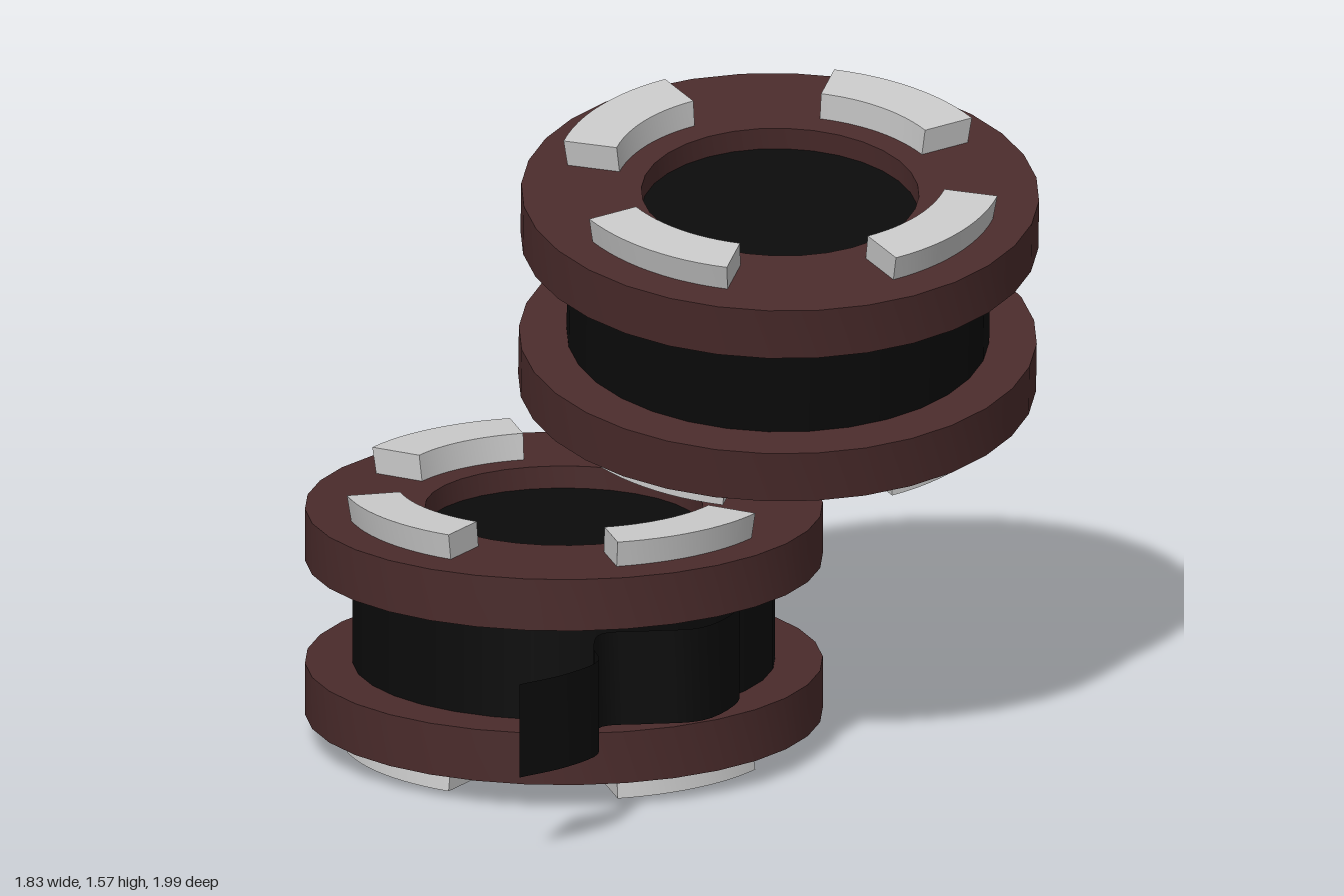
import * as THREE from 'three';
import { toCreasedNormals } from 'three/addons/utils/BufferGeometryUtils.js';

const brown = new THREE.MeshStandardMaterial({ color: 0x4a2b2b });
brown.name = 'reelBrown';
const black = new THREE.MeshStandardMaterial({ color: 0x0b0b0b, side: THREE.DoubleSide });
black.name = 'tapeBlack';
const grey = new THREE.MeshStandardMaterial({ color: 0xc8c8c8 });
grey.name = 'padGrey';

const SIDES = 32, OUTER = 0.653, HOLE = 0.35, CORE = 0.533;
const CORE_HALF = 0.135, FLANGE_TOP = 0.27, PAD_HEIGHT = 0.067;

function addMesh(parent, name, geometry, material) {
  const mesh = new THREE.Mesh(geometry, material);
  mesh.name = name;
  parent.add(mesh);
  return mesh;
}

// Square-section ring with crisp rims
function flangeGeometry() {
  const profile = [
    [HOLE, CORE_HALF], [OUTER, CORE_HALF], [OUTER, FLANGE_TOP], [HOLE, FLANGE_TOP], [HOLE, CORE_HALF],
  ].map(([r, y]) => new THREE.Vector2(r, y));
  return toCreasedNormals(new THREE.LatheGeometry(profile, SIDES), 0.6);
}

// Curved block lying on the flange, flaring slightly outwards
function padGeometry() {
  const a = Math.PI / 8, shape = new THREE.Shape();
  shape.absarc(0, 0, 0.552, -a, a, false);
  shape.absarc(0, 0, 0.417, a, -a, true);
  const geo = new THREE.ExtrudeGeometry(shape, { depth: PAD_HEIGHT, bevelEnabled: false, curveSegments: 6 });
  geo.rotateX(-Math.PI / 2);
  const p = geo.attributes.position;
  for (let i = 0; i < p.count; i++) {
    const s = p.getY(i) > PAD_HEIGHT / 2 ? 1.02 : 1;
    p.setXYZ(i, p.getX(i) * s, p.getY(i) + FLANGE_TOP, p.getZ(i) * s);
  }
  return toCreasedNormals(geo, 0.6);
}

function createReel(name) {
  const reel = new THREE.Group();
  reel.name = name;
  addMesh(reel, 'woundCore', new THREE.CylinderGeometry(CORE, CORE, CORE_HALF * 2, SIDES), black);
  addMesh(reel, 'hub', new THREE.CylinderGeometry(HOLE, HOLE, 0.424, SIDES), black);
  const flange = flangeGeometry(), pad = padGeometry();
  // Both ends are the same, one turned over
  for (const end of ['top', 'bottom']) {
    const side = new THREE.Group();
    side.name = end + 'End';
    addMesh(side, end + 'Flange', flange, brown);
    for (let i = 0; i < 4; i++) {
      addMesh(side, end + 'Pad', pad, grey).rotation.y = Math.PI / 4 + i * Math.PI / 2;
    }
    if (end === 'bottom') side.rotation.x = Math.PI;
    reel.add(side);
  }
  return reel;
}

// Loose wavy end of the tape, an upright sheet without thickness
function tailGeometry() {
  const path = new THREE.CatmullRomCurve3([
    [0.47, 0.22], [0.495, 0.34], [0.43, 0.52], [0.3, 0.57], [0.19, 0.61],
    [0.185, 0.73], [0.215, 0.85], [0.15, 0.98], [0.05, 1.085],
  ].map(([x, z]) => new THREE.Vector3(x, 0, z)));
  const steps = 40;
  const geo = new THREE.PlaneGeometry(1, 0.245, steps, 1);
  const p = geo.attributes.position;
  for (let i = 0; i < p.count; i++) {
    const c = path.getPoint(p.getX(i) + 0.5);
    p.setXYZ(i, c.x, p.getY(i), c.z);
  }
  geo.computeVertexNormals();
  return geo;
}

export function createModel() {
  const model = new THREE.Group();
  model.name = 'twoReels';

  const lower = createReel('lowerReel');
  lower.position.set(-0.262, 0.338, -0.085);
  addMesh(lower, 'tapeTail', tailGeometry(), black);
  model.add(lower);

  // Upper reel hovers above, tilted forward and slightly turned
  const upper = createReel('upperReel');
  upper.position.set(0.252, 1.14, -0.305);
  upper.rotation.set(0.183, 0.297, -0.042, 'XZY');
  model.add(upper);

  return model;
}
